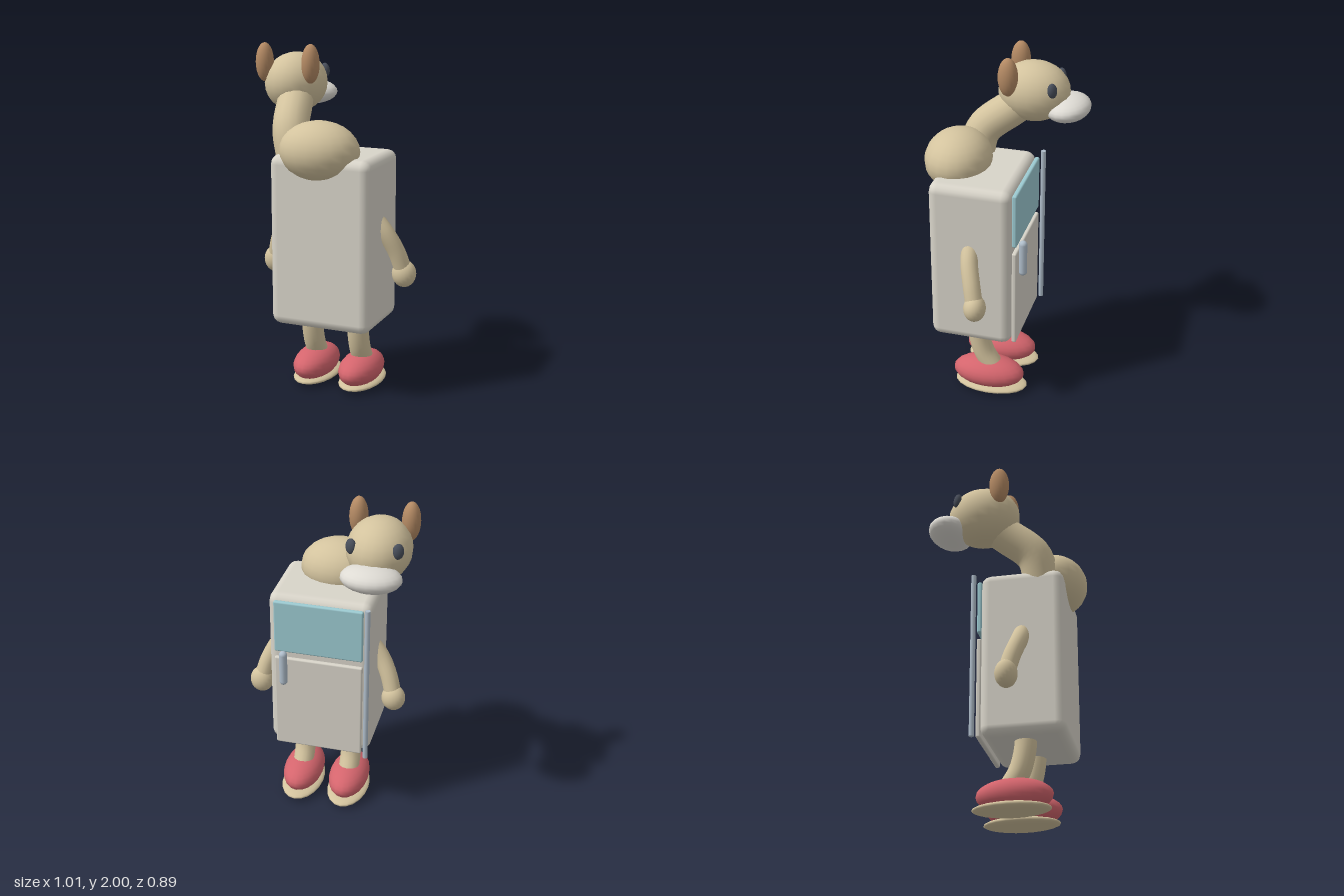
import * as THREE from 'three';
import { RoundedBoxGeometry } from 'three/addons/geometries/RoundedBoxGeometry.js';

const MID = 0.025; // mirror plane of the body, arms and legs

export function createModel() {
  const group = new THREE.Group();
  group.name = 'fridgeCreature';

  const material = (name, color) => {
    const m = new THREE.MeshStandardMaterial({ color });
    m.name = name;
    return m;
  };
  const tan = material('tan', 0xd3c39e);
  const brown = material('brown', 0xb48a64);
  const offWhite = material('offWhite', 0xd8d4c9);
  const teal = material('teal', 0x9ccad1);
  const red = material('red', 0xd4656d);
  const eyeDark = material('eyeDark', 0x484e5a);
  const steel = material('steel', 0xafbdca);
  const muzzleWhite = material('muzzleWhite', 0xdedbd4);

  const add = (name, geometry, mat, position = [0, 0, 0], rotation = [0, 0, 0]) => {
    const mesh = new THREE.Mesh(geometry, mat);
    mesh.name = name;
    mesh.position.set(...position);
    mesh.rotation.set(...rotation);
    group.add(mesh);
    return mesh;
  };
  const blob = (name, mat, position, radii, rotation) =>
    add(name, new THREE.SphereGeometry(1, 20, 14), mat, position, rotation).scale.set(...radii);
  const limb = (name, mat, points, radius) => {
    const curve = new THREE.CatmullRomCurve3(points.map((p) => new THREE.Vector3(...p)));
    return add(name, new THREE.TubeGeometry(curve, 16, radius, 16), mat);
  };

  // Cabinet
  add('cabinet', new RoundedBoxGeometry(0.605, 0.995, 0.48, 2, 0.055), offWhite, [MID, 0.913, 0.098]);

  // Doors and their hardware
  add('upperDoor', new RoundedBoxGeometry(0.52, 0.325, 0.028, 2, 0.01), teal, [MID, 1.222, -0.155]);
  add('lowerDoor', new RoundedBoxGeometry(0.52, 0.6, 0.028, 2, 0.01), offWhite, [MID, 0.72, -0.155]);
  add('hingeRod', new THREE.CylinderGeometry(0.015, 0.015, 0.995, 12), steel, [-0.265, 0.913, -0.183]);
  add('doorHandle', new THREE.CapsuleGeometry(0.024, 0.175, 5, 12), steel, [0.225, 0.968, -0.193]);

  // Hump and neck
  blob('hump', tan, [0, 1.437, 0.25], [0.232, 0.17, 0.192]);
  limb('neck', tan, [[-0.17, 1.36, 0.2], [-0.215, 1.53, 0.165], [-0.26, 1.66, 0.01], [-0.3, 1.74, -0.1]], 0.105);

  // Head, muzzle, ears and eyes
  const headX = -0.307;
  blob('head', tan, [headX, 1.765, -0.113], [0.18, 0.175, 0.21]);
  blob('muzzle', muzzleWhite, [headX, 1.686, -0.313], [0.168, 0.073, 0.131], [0.08, 0, 0]);
  for (const side of [-1, 1]) {
    const label = side > 0 ? 'left' : 'right';
    blob(label + 'Ear', brown, [headX + side * 0.145, 1.887, 0.006], [0.052, 0.113, 0.058]);
    blob(label + 'Eye', eyeDark, [headX + side * 0.127, 1.825, -0.246], [0.032, 0.043, 0.023], [0.15, -side * 0.5, 0]);
  }

  // Arms, legs and shoes, mirrored about the cabinet centre
  for (const side of [-1, 1]) {
    const label = side > 0 ? 'left' : 'right';
    const mirror = ([x, y, z]) => [MID + side * x, y, z];
    const arm = [[0.245, 1.05, 0.1], [0.315, 0.96, 0.09], [0.37, 0.85, 0.062], [0.405, 0.73, 0.035]];
    limb(label + 'Arm', tan, arm.map(mirror), 0.05);
    blob(label + 'Hand', tan, mirror([0.406, 0.72, 0.034]), [0.071, 0.08, 0.064]);

    const leg = [[0.145, 0.47, 0.093], [0.145, 0.37, 0.088], [0.145, 0.25, 0.058], [0.145, 0.15, 0]];
    limb(label + 'Leg', tan, leg.map(mirror), 0.063);
    blob(label + 'Shoe', red, mirror([0.145, 0.11, 0.028]), [0.12, 0.095, 0.217]);
    blob(label + 'Sole', tan, mirror([0.145, 0.034, 0.012]), [0.126, 0.031, 0.222]);
  }

  return group;
}
